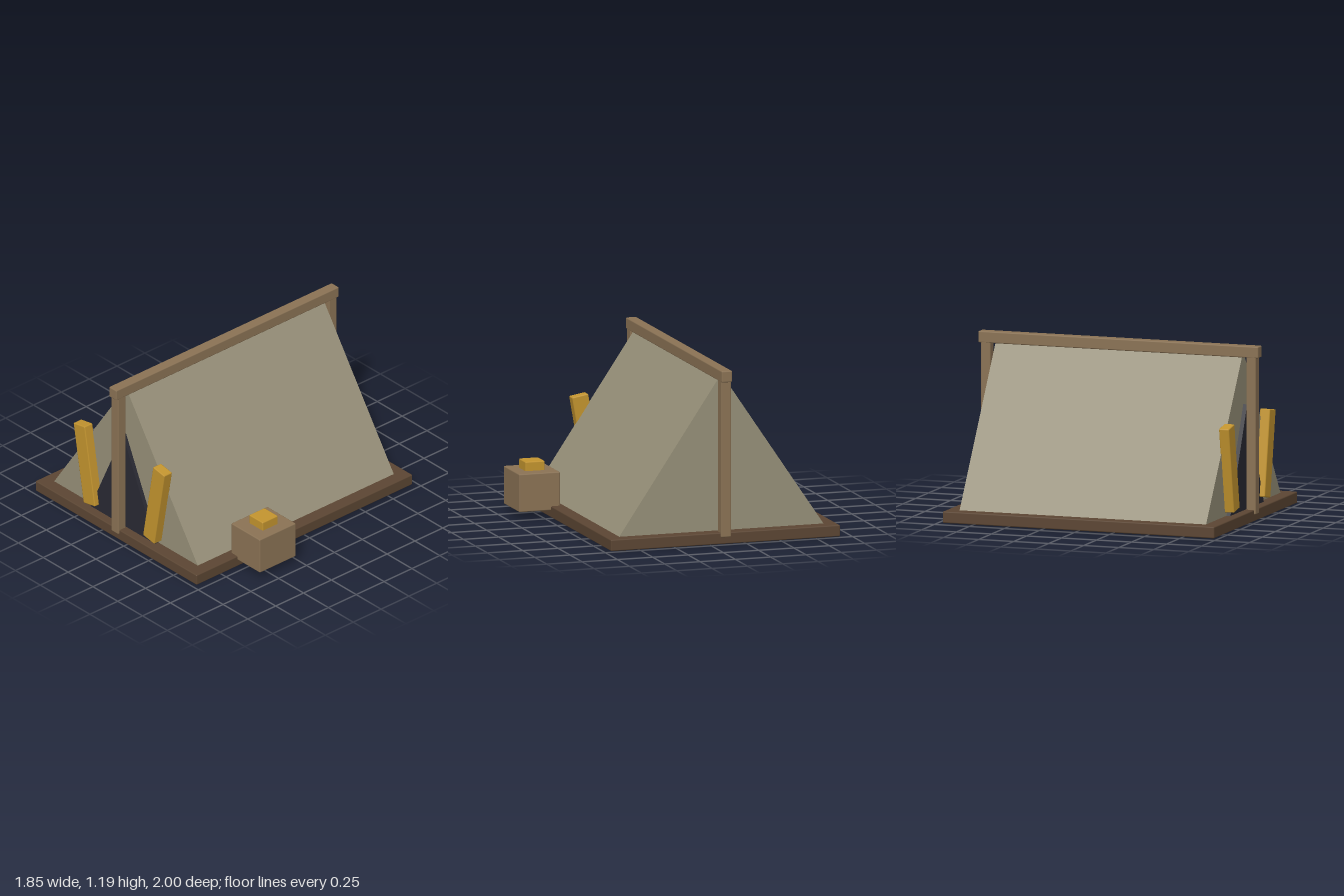
import * as THREE from 'three';
import { RoundedBoxGeometry } from 'three/addons/geometries/RoundedBoxGeometry.js';

const flat = (name, color) => {
  const m = new THREE.MeshStandardMaterial({ color });
  m.name = name;
  return m;
};

export function createModel() {
  const tent = new THREE.Group();
  tent.name = 'tent';
  const darkWood = flat('dark wood', 0x5c4633);
  const wood = flat('light wood', 0x8b7355);
  const canvas = flat('canvas', 0x979079);
  const dark = flat('dark opening', 0x2a2a33);
  const ochre = flat('ochre', 0xc4952f);
  const MID = -0.112; // x of the ridge line

  const add = (name, geometry, material, x, y, z) => {
    const mesh = new THREE.Mesh(geometry, material);
    mesh.name = name;
    mesh.position.set(x, y, z);
    tent.add(mesh);
    return mesh;
  };
  // Box with a narrow chamfer on every edge
  const box = (name, material, [w, h, d], [x, y, z]) =>
    add(name, new RoundedBoxGeometry(w, h, d, 1, 0.008), material, x, y, z);
  // Triangular prism along z, with its base centred on the ridge line
  const prism = (name, material, halfWidth, height, z0, z1) => {
    const shape = new THREE.Shape([
      new THREE.Vector2(-halfWidth, 0),
      new THREE.Vector2(halfWidth, 0),
      new THREE.Vector2(0, height),
    ]);
    const geometry = new THREE.ExtrudeGeometry(shape, { depth: z1 - z0, bevelEnabled: false });
    return add(name, geometry, material, MID, 0.075, z0);
  };

  // Platform, canvas and dark entrance
  box('platform', darkWood, [1.624, 0.078, 1.94], [MID, 0.042, 0]);
  prism('canvas', canvas, 0.727, 1.075, -0.88, 0.88);
  prism('entrance', dark, 0.328, 0.715, 0.87, 0.908);

  // Ridge beam and its two posts
  box('ridgeBeam', wood, [0.075, 0.078, 2], [MID, 1.15, 0]);
  for (const [name, side] of [['frontPost', 1], ['backPost', -1]]) {
    box(name, wood, [0.072, 1.08, 0.07], [MID, 0.59, side * 0.947]);
  }

  // Leaning flaps tied back beside the entrance
  for (const [name, side] of [['leftFlap', 1], ['rightFlap', -1]]) {
    const flap = box(name, ochre, [0.117, 0.592, 0.073], [MID + side * 0.35, 0.408, 0.909]);
    flap.rotation.z = -side * 0.175;
  }

  // Crate at the side with a small lamp on top
  box('crate', wood, [0.29, 0.26, 0.325], [0.78, 0.182, 0.44]);
  box('lamp', ochre, [0.138, 0.08, 0.138], [0.78, 0.335, 0.44]);

  return tent;
}
